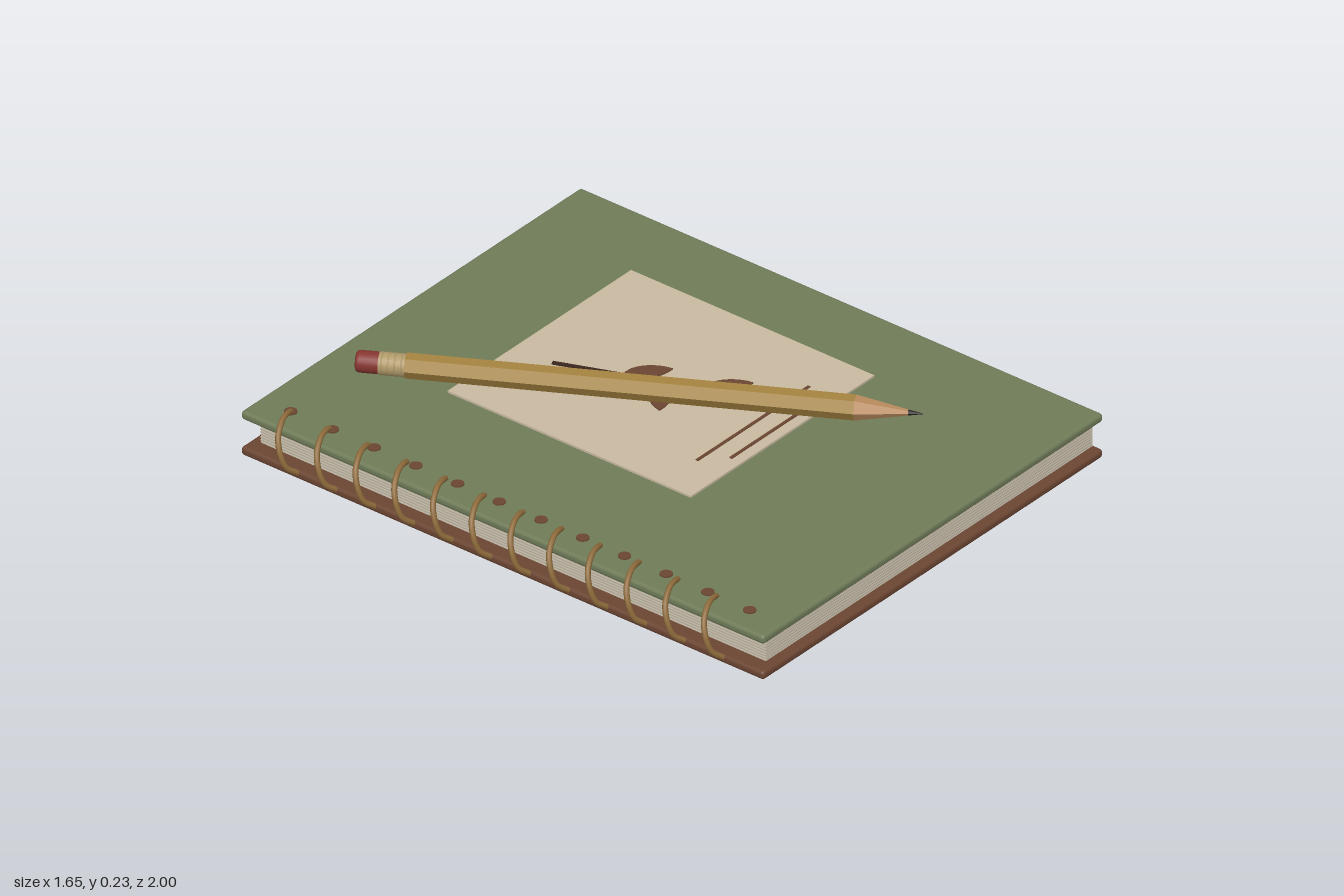
import * as THREE from 'three';
import { RoundedBoxGeometry } from 'three/addons/geometries/RoundedBoxGeometry.js';

const mat = (color, flatShading = false) => new THREE.MeshStandardMaterial({ color, flatShading });

const GREEN = mat(0x6f7b58), BROWN = mat(0x6b4532), PAPER = mat(0xd2c9b6), EDGE = mat(0xb3a995);
const LABEL = mat(0xc8b9a0), STEM = mat(0x3a271c), BRASS = mat(0x8f6c3c);
const PAINT = mat(0xa4833f, true), WOOD = mat(0xb98a5c, true), LEAD = mat(0x2a2624, true);
const FERRULE = mat(0xb09a6a), ERASER = mat(0x86352f);

function add(parent, name, geometry, material, x = 0, y = 0, z = 0) {
  const mesh = new THREE.Mesh(geometry, material);
  mesh.name = name;
  mesh.position.set(x, y, z);
  parent.add(mesh);
  return mesh;
}

// Pointed leaf lying flat, from its base on the stem to its tip
function leafGeometry(length, width) {
  const s = new THREE.Shape();
  s.moveTo(0, 0);
  s.bezierCurveTo(length * 0.2, width * 0.8, length * 0.7, width * 0.7, length, 0);
  s.bezierCurveTo(length * 0.7, -width * 0.7, length * 0.2, -width * 0.8, 0, 0);
  return new THREE.ExtrudeGeometry(s, { depth: 0.004, bevelEnabled: false, curveSegments: 8 })
    .rotateX(Math.PI / 2);
}

function makeBook() {
  const book = new THREE.Group();
  book.name = 'notebook';
  add(book, 'backCover', new RoundedBoxGeometry(1.605, 0.03, 2, 3, 0.012), BROWN, 0.0225, 0.015);
  add(book, 'frontCover', new RoundedBoxGeometry(1.605, 0.03, 2, 3, 0.012), GREEN, 0.0225, 0.14);
  add(book, 'pageBlock', new THREE.BoxGeometry(1.54, 0.095, 1.93), PAPER, 0.045, 0.0775);
  // Fine sheet lines on the two ends and the spine side
  for (let i = 0; i < 9; i++) {
    add(book, 'sheetEdge', new THREE.BoxGeometry(1.535, 0.0025, 1.934), EDGE, 0.0405, 0.04 + i * 0.0095);
  }
  return book;
}

function makeBinding() {
  const binding = new THREE.Group();
  binding.name = 'spiralBinding';
  const path = new THREE.CatmullRomCurve3([
    [-0.69, 0.157, -0.065], [-0.725, 0.17, -0.052], [-0.765, 0.17, -0.038],
    [-0.805, 0.14, -0.02], [-0.82, 0.095, 0], [-0.81, 0.05, 0.015], [-0.775, 0.02, 0.03],
  ].map(p => new THREE.Vector3(...p)));
  const ring = new THREE.TubeGeometry(path, 28, 0.009, 8);
  const hole = new THREE.CylinderGeometry(0.02, 0.02, 0.006, 20);
  for (let i = 0; i < 12; i++) {
    add(binding, 'ring', ring, BRASS, 0, 0, -0.815 + i * 0.148);
    add(binding, 'punchHole', hole, BROWN, -0.69, 0.156, -0.88 + i * 0.1595);
  }
  return binding;
}

function makeLabel() {
  const label = new THREE.Group();
  label.name = 'coverLabel';
  add(label, 'labelPanel', new THREE.BoxGeometry(0.865, 0.008, 0.93), LABEL, 0.1185, 0.158, -0.12);
  add(label, 'ruledLine', new THREE.BoxGeometry(0.53, 0.004, 0.01), BROWN, 0.115, 0.163, 0.235);
  add(label, 'ruledLine', new THREE.BoxGeometry(0.385, 0.004, 0.01), BROWN, 0.115, 0.163, 0.305);

  // Sprig: a straight stem with four alternating leaves
  const stem = add(label, 'stem', new THREE.BoxGeometry(0.014, 0.005, 0.584), STEM, 0.105, 0.1645, -0.167);
  stem.rotation.y = Math.atan2(0.21, 0.545);
  const leaves = [
    [0.03, -0.35, -0.075, -0.265], [0.08, -0.235, 0.2, -0.14],
    [0.115, -0.12, -0.005, -0.025], [0.17, 0.0, 0.29, 0.095],
  ];
  for (const [x0, z0, x1, z1] of leaves) {
    const length = Math.hypot(x1 - x0, z1 - z0);
    const leaf = add(label, 'leaf', leafGeometry(length, 0.062), BROWN, x0, 0.1655, z0);
    leaf.rotation.y = -Math.atan2(z1 - z0, x1 - x0);
  }
  return label;
}

// Pencil built along +y from its eraser end, then laid across the cover
function makePencil() {
  const pencil = new THREE.Group();
  pencil.name = 'pencil';
  const v = (x, y) => new THREE.Vector2(x, y);
  add(pencil, 'eraser', new THREE.LatheGeometry(
    [v(0, 0), v(0.026, 0), v(0.032, 0.004), v(0.034, 0.012), v(0.034, 0.075)], 24), ERASER);

  // Ridged metal collar
  add(pencil, 'ferrule', new THREE.CylinderGeometry(0.035, 0.035, 0.08, 24), FERRULE, 0, 0.11);
  for (const y of [0.08, 0.1, 0.12, 0.14]) {
    add(pencil, 'ferruleRidge', new THREE.TorusGeometry(0.0345, 0.0025, 6, 24).rotateX(Math.PI / 2), FERRULE, 0, y);
  }

  // Six-sided shaft, sharpened cone and point
  add(pencil, 'shaft', new THREE.CylinderGeometry(0.039, 0.039, 1.355, 6), PAINT, 0, 0.8275);
  add(pencil, 'sharpenedWood', new THREE.CylinderGeometry(0.009, 0.039, 0.16, 6), WOOD, 0, 1.585);
  add(pencil, 'leadPoint', new THREE.CylinderGeometry(0.001, 0.009, 0.045, 6), LEAD, 0, 1.6875);

  const start = new THREE.Vector3(-0.4, 0.198, -0.865);
  const along = new THREE.Vector3(0.437, 0.198, 0.64).sub(start).normalize();
  const up = new THREE.Vector3(0, 1, 0);
  const side = new THREE.Vector3().crossVectors(up, along);
  pencil.quaternion.setFromRotationMatrix(new THREE.Matrix4().makeBasis(up, along, side));
  pencil.position.copy(start);
  return pencil;
}

export function createModel() {
  const model = new THREE.Group();
  model.name = 'notebookWithPencil';
  model.add(makeBook(), makeBinding(), makeLabel(), makePencil());
  return model;
}
